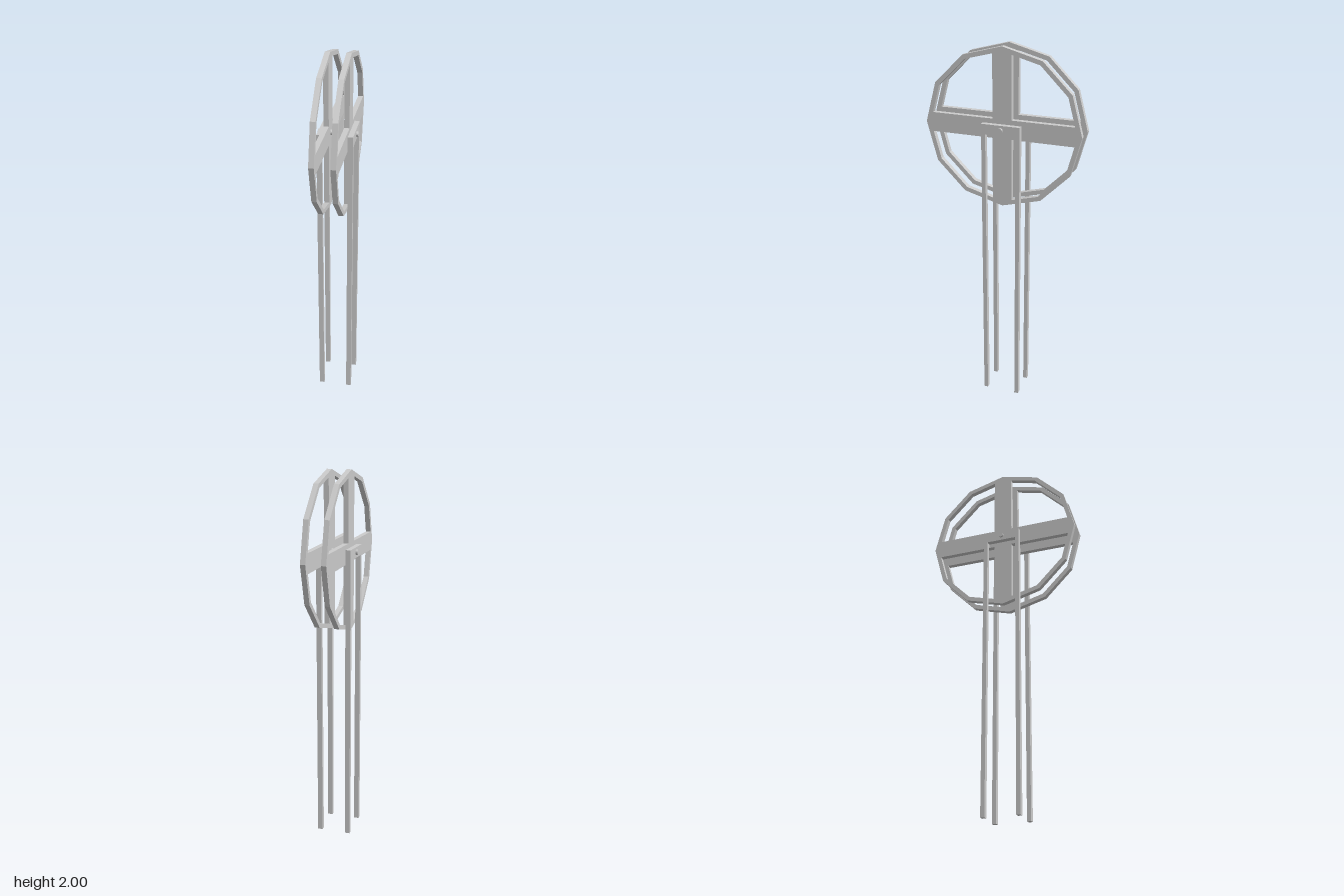
import * as THREE from 'three';

const AXLE_Y = 1.581;
const material = new THREE.MeshStandardMaterial({ color: 0xcccccc, flatShading: true });

// Extrude a (z, y) outline sideways so that it spans x0..x1
function slab(name, shape, x0, x1) {
  const geometry = new THREE.ExtrudeGeometry(shape, { depth: x1 - x0, bevelEnabled: false });
  geometry.rotateY(Math.PI / 2).translate(x0, 0, 0);
  const mesh = new THREE.Mesh(geometry, material);
  mesh.name = name;
  return mesh;
}

// Twelve-sided rim with a broad cross of spokes left between four holes
function wheelShape() {
  const outer = 0.419, inner = 0.395, half = 0.051;
  const rim = [];
  for (let i = 0; i < 12; i++) {
    const a = i * Math.PI / 6;
    rim.push(new THREE.Vector2(outer * Math.cos(a), outer * Math.sin(a)));
  }
  const shape = new THREE.Shape(rim);
  const reach = inner - half * Math.tan(Math.PI / 12);
  const c = inner * Math.cos(Math.PI / 6), s = inner / 2;
  const hole = [[half, half], [reach, half], [c, s], [s, c], [half, reach]];
  for (const sx of [-1, 1]) for (const sy of [-1, 1]) {
    shape.holes.push(new THREE.Path(hole.map(([x, y]) => new THREE.Vector2(x * sx, y * sy))));
  }
  return shape;
}

// Two long legs joined by a short bar over the axle
function standShape() {
  const w = 0.104, i = 0.082, top = 1.607, under = 1.552;
  return new THREE.Shape([
    [-w, 0], [-i, 0], [-i, under], [i, under], [i, 0], [w, 0], [w, top], [-w, top],
  ].map(([x, y]) => new THREE.Vector2(x, y)));
}

export function createModel() {
  const model = new THREE.Group();
  model.name = 'wheelPair';

  for (const [label, side] of [['left', 1], ['right', -1]]) {
    const half = new THREE.Group();
    half.name = label + 'Assembly';

    const wheel = slab('wheel', wheelShape(), 0.039, 0.066);
    wheel.position.y = AXLE_Y;

    const stand = slab('stand', standShape(), 0.066, 0.093);

    // Axle pin through wheel and stand
    const pin = new THREE.Mesh(
      new THREE.CylinderGeometry(0.014, 0.014, 0.077, 12).rotateZ(Math.PI / 2), material);
    pin.name = 'axlePin';
    pin.position.set(0.0655, AXLE_Y, 0);

    half.add(wheel, stand, pin);
    if (side < 0) half.rotation.y = Math.PI;
    model.add(half);
  }
  return model;
}
